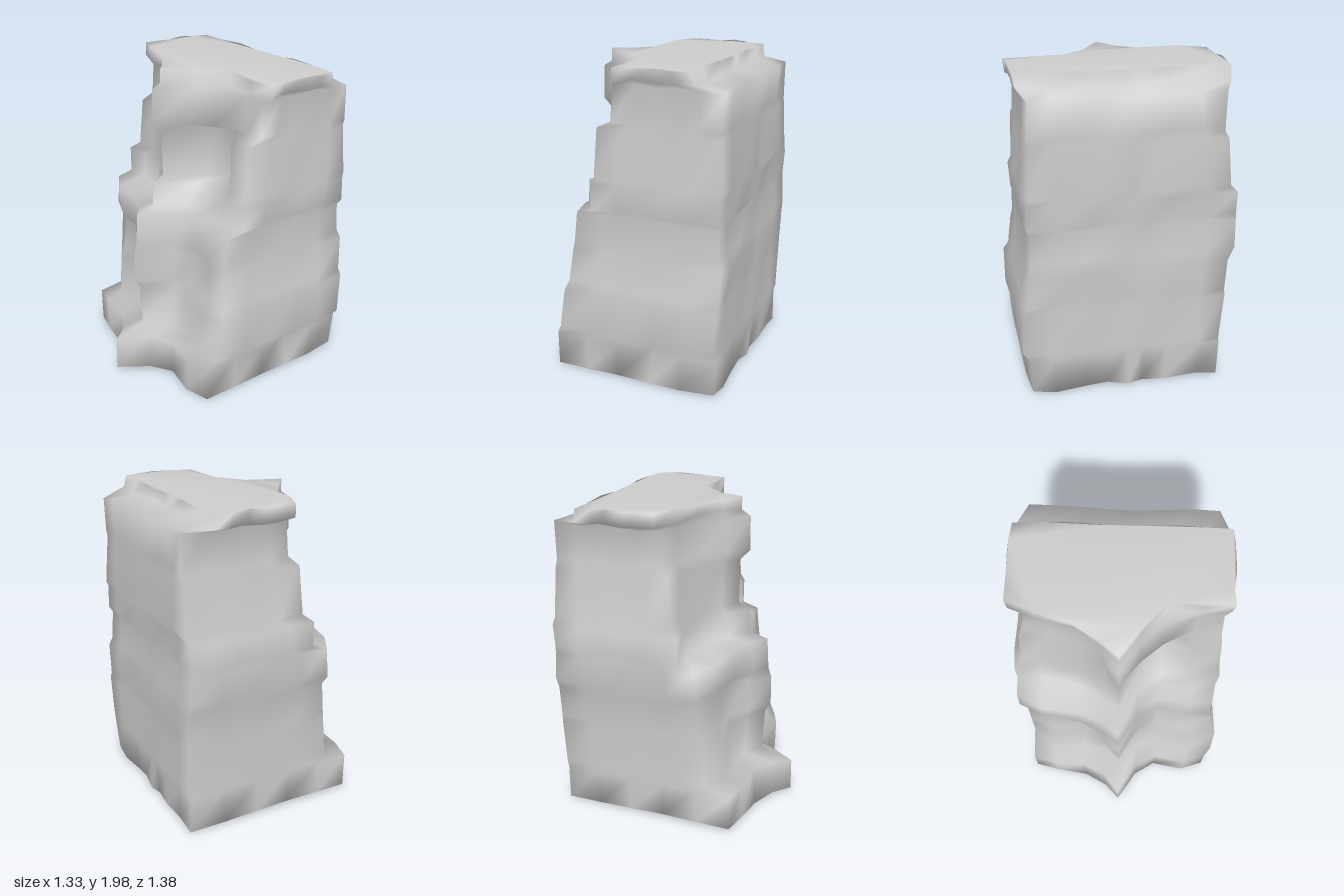
import * as THREE from 'three';

// Each level of the rock: height, left x, right x, back z
const LEVELS = [
  [0.02, -0.60, 0.62, -0.66], [0.25, -0.61, 0.63, -0.67],
  [0.29, -0.60, 0.66, -0.67], [0.57, -0.61, 0.66, -0.67],
  [0.62, -0.61, 0.63, -0.67], [0.82, -0.62, 0.61, -0.68],
  [0.89, -0.66, 0.60, -0.67], [1.08, -0.66, 0.60, -0.66],
  [1.11, -0.66, 0.62, -0.67], [1.26, -0.66, 0.62, -0.67],
  [1.30, -0.61, 0.61, -0.68], [1.60, -0.60, 0.60, -0.67],
  [1.65, -0.57, 0.60, -0.67], [1.87, -0.56, 0.59, -0.67],
  [1.90, -0.64, 0.63, -0.51], [1.98, -0.65, 0.64, -0.50],
];

// Front columns as a share of the half width, and the front z of each level there
const COLUMNS = [-1, -0.75, -0.4, -0.15, 0, 0.2, 0.42, 0.75, 1];
const FRONT = [
  [0.45, 0.49, 0.52, 0.59, 0.69, 0.51, 0.42, 0.46, 0.41],
  [0.45, 0.49, 0.50, 0.58, 0.69, 0.50, 0.42, 0.46, 0.41],
  [0.30, 0.38, 0.36, 0.40, 0.49, 0.36, 0.33, 0.38, 0.36],
  [0.27, 0.36, 0.33, 0.40, 0.50, 0.30, 0.32, 0.36, 0.32],
  [0.27, 0.33, 0.32, 0.42, 0.53, 0.33, 0.26, 0.30, 0.30],
  [0.25, 0.30, 0.30, 0.40, 0.53, 0.32, 0.24, 0.28, 0.28],
  [0.25, 0.33, 0.36, 0.44, 0.51, 0.30, 0.25, 0.28, 0.28],
  [0.24, 0.33, 0.36, 0.42, 0.50, 0.32, 0.25, 0.27, 0.26],
  [0.14, 0.13, 0.18, 0.28, 0.38, 0.20, 0.16, 0.18, 0.15],
  [0.14, 0.12, 0.16, 0.26, 0.38, 0.12, 0.14, 0.17, 0.15],
  [0.08, 0.08, 0.15, 0.22, 0.30, 0.05, -0.08, 0.12, 0.13],
  [0.06, 0.07, 0.15, 0.22, 0.30, 0.00, -0.08, 0.12, 0.11],
  [0.00, 0.05, 0.12, 0.25, 0.37, 0.22, 0.10, 0.00, 0.02],
  [0.00, 0.05, 0.12, 0.24, 0.37, 0.20, 0.08, 0.00, 0.00],
  [0.00, 0.06, 0.12, 0.22, 0.31, 0.12, -0.02, 0.00, -0.02],
  [0.00, 0.06, 0.12, 0.22, 0.31, 0.12, -0.02, 0.00, -0.02],
];
const SIDE_POINTS = 4;

function seeded(seed) {
  return () => {
    seed = (seed * 16807) % 2147483647;
    return seed / 2147483647 - 0.5;
  };
}

// One closed outline: front left to right, right side, back, left side
function outline(level, rnd) {
  const [y, left, right, back] = LEVELS[level];
  const front = FRONT[level];
  const xAt = (t) => (t < 0 ? -t * left : t * right);
  const points = [];
  const add = (x, z, rough = 0.02) =>
    points.push(new THREE.Vector3(x + rnd() * rough, y + rnd() * 0.025, z + rnd() * rough));

  COLUMNS.forEach((t, i) => add(xAt(t), front[i], 0.012));
  for (let i = 1; i <= SIDE_POINTS; i++) {
    const dent = level === 1 && i === 3 ? 0.05 : 0;
    add(right - dent, THREE.MathUtils.lerp(front[8], back, i / (SIDE_POINTS + 1)));
  }
  for (let i = COLUMNS.length - 1; i >= 0; i--) add(xAt(COLUMNS[i]) * 0.98, back);
  for (let i = 1; i <= SIDE_POINTS; i++) {
    add(left, THREE.MathUtils.lerp(back, front[0], i / (SIDE_POINTS + 1)));
  }
  return points;
}

// Skin the outlines and close both ends
function rockGeometry() {
  const rnd = seeded(4711);
  const rings = LEVELS.map((_, i) => outline(i, rnd));
  const n = rings[0].length;
  const last = (rings.length - 1) * n;
  const index = [];
  for (let r = 0; r < rings.length - 1; r++) {
    for (let i = 0; i < n; i++) {
      const a = r * n + i;
      const b = r * n + ((i + 1) % n);
      index.push(a, b, b + n, a, b + n, a + n);
    }
  }
  const capFaces = (ring) =>
    THREE.ShapeUtils.triangulateShape(ring.map((p) => new THREE.Vector2(p.x, -p.z)), []);
  for (const [a, b, c] of capFaces(rings[0])) index.push(c, b, a);
  for (const [a, b, c] of capFaces(rings[rings.length - 1])) index.push(last + a, last + b, last + c);

  const geometry = new THREE.BufferGeometry().setFromPoints(rings.flat());
  geometry.setIndex(index);
  geometry.computeVertexNormals();
  return geometry;
}

export function createModel() {
  const group = new THREE.Group();
  group.name = 'cliff';
  const rock = new THREE.Mesh(rockGeometry(), new THREE.MeshStandardMaterial({ color: 0xcccccc }));
  rock.name = 'rockBody';
  group.add(rock);
  return group;
}
